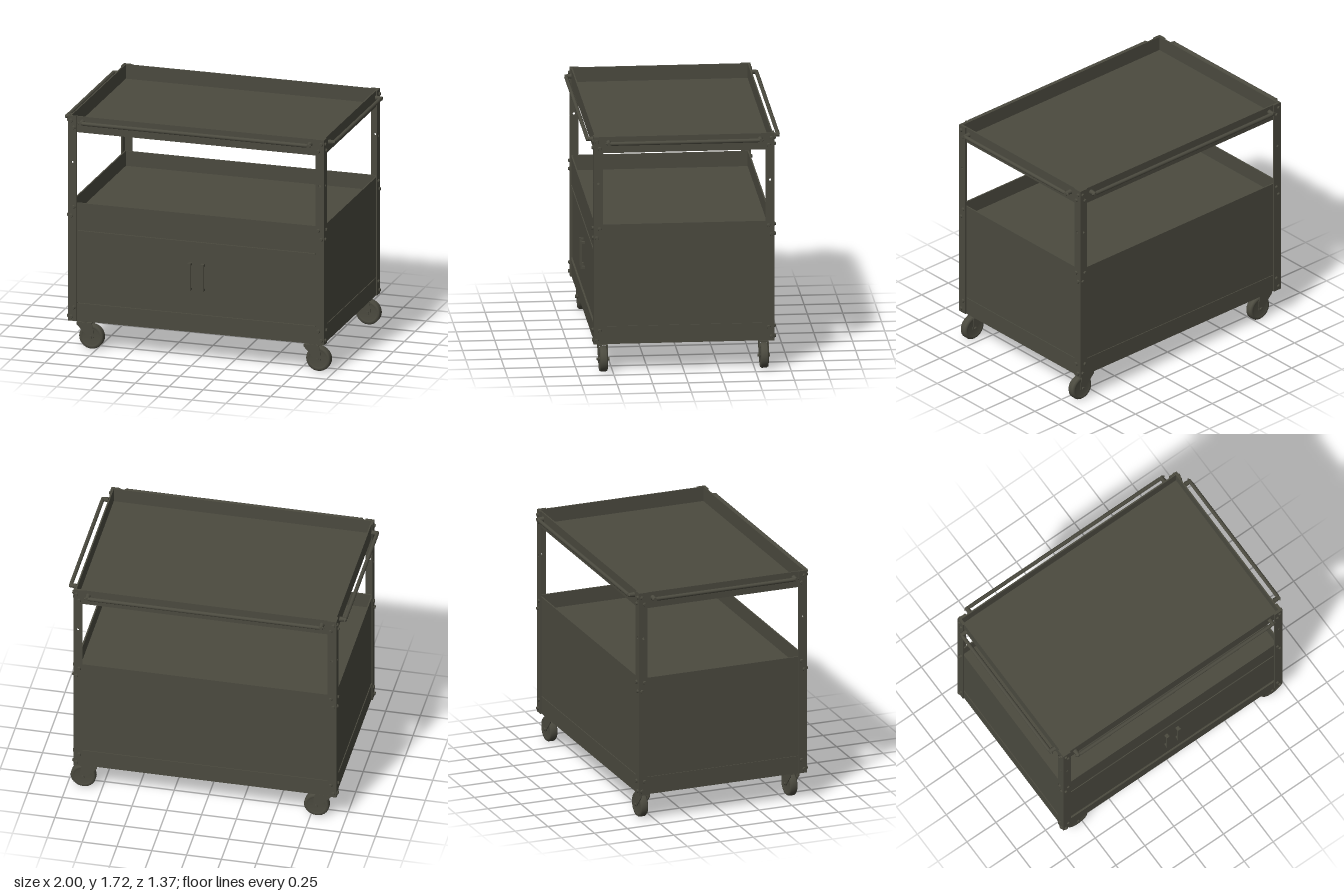
import * as THREE from 'three';

export function createModel() {
  const cart = new THREE.Group();
  cart.name = 'utilityCart';
  const steel = new THREE.MeshStandardMaterial({ color: 0x4b4a3f });
  steel.name = 'dark olive steel';

  const X = 0.945, Z = 0.638, BOTTOM = 0.21, TOP = 1.72, T = 0.01;

  function add(name, geo, x, y, z, parent = cart) {
    const m = new THREE.Mesh(geo, steel);
    m.name = name;
    m.position.set(x, y, z);
    parent.add(m);
    return m;
  }
  const box = (name, w, h, d, x, y, z, parent) => add(name, new THREE.BoxGeometry(w, h, d), x, y, z, parent);

  // Open tray: a floor with four thin walls
  function tray(name, y0, y1, floorY) {
    const g = new THREE.Group();
    g.name = name;
    cart.add(g);
    const x = X - T, z = Z - T, h = y1 - y0, y = (y0 + y1) / 2;
    box('trayFloor', 2 * x - 0.002, 0.012, 2 * z - 0.002, 0, floorY, 0, g);
    for (const s of [-1, 1]) {
      box('trayLongWall', 2 * x, h, T, 0, y, s * (z - T / 2), g);
      box('traySideWall', T, h, 2 * z - 2 * T, s * (x - T / 2), y, 0, g);
    }
  }
  tray('topTray', 1.6, 1.718, 1.607);
  tray('middleTray', 0.88, 1.08, 0.965);
  tray('bottomTray', BOTTOM, 0.338, BOTTOM + 0.007);

  // Cabinet panels, set slightly back from the tray walls
  const py = (0.338 + 0.88) / 2, ph = 0.88 - 0.338;
  for (const s of [-1, 1]) {
    box('sidePanel', T, ph, 1.2, s * 0.924, py, 0);
    box('door', 0.895, ph - 0.006, 0.012, s * 0.4475, py, 0.614);
  }
  box('backPanel', 1.84, ph, T, 0, py, -0.617);
  // Folded lips above and below the doors
  box('doorLip', 1.75, 0.008, 0.018, 0, 0.338, 0.624);
  box('doorLip', 1.75, 0.008, 0.018, 0, 0.872, 0.624);

  // Corner posts: two punched plates forming an angle section
  const w = 0.064, h = TOP - BOTTOM;
  const plateShape = new THREE.Shape([
    new THREE.Vector2(-w / 2, 0), new THREE.Vector2(w / 2, 0),
    new THREE.Vector2(w / 2, h), new THREE.Vector2(-w / 2, h)]);
  const hole = new THREE.Path();
  hole.absarc(0, 1.38 - BOTTOM, 0.009, 0, Math.PI * 2, true);
  plateShape.holes.push(hole);
  const plate = new THREE.ExtrudeGeometry(plateShape, { depth: T, bevelEnabled: false, curveSegments: 6 });
  plate.translate(0, 0, -T / 2);

  // Hexagonal bolt heads
  const bolt = new THREE.CylinderGeometry(0.011, 0.015, 0.012, 6);
  const boltRows = [[1.685, 0.01], [1.635, -0.01], [1.05, -0.01], [0.985, 0.01], [0.31, -0.01], [0.24, 0.01]];

  for (const sx of [-1, 1]) for (const sz of [-1, 1]) {
    const post = new THREE.Group();
    post.name = 'cornerPost';
    cart.add(post);
    add('postFacePlate', plate, sx * (X - w / 2), BOTTOM, sz * (Z - T / 2), post);
    add('postSidePlate', plate, sx * (X - T / 2), BOTTOM, sz * (Z - w / 2), post).rotation.y = Math.PI / 2;
    for (const [y, o] of boltRows) {
      add('bolt', bolt, sx * (X - w / 2 + o), y, sz * (Z + 0.005), post).rotation.x = sz * Math.PI / 2;
      add('bolt', bolt, sx * (X + 0.005), y, sz * (Z - w / 2 + o), post).rotation.z = -sx * Math.PI / 2;
    }
  }

  // Slim rails with tapered ends, on short standoffs
  function rail(length, x, z, angle) {
    const g = new THREE.Group();
    g.name = 'rail';
    g.position.set(x, 1.68, z);
    g.rotation.y = angle;
    cart.add(g);
    const half = length / 2;
    const profile = [[0.001, -half], [0.008, -half + 0.01], [0.014, -half + 0.05],
      [0.014, half - 0.05], [0.008, half - 0.01], [0.001, half]].map(p => new THREE.Vector2(...p));
    add('railBar', new THREE.LatheGeometry(profile, 12), 0, 0, 0, g).rotation.z = Math.PI / 2;
    // Standoffs run from the frame out to the bar ends
    for (const s of [-1, 1]) {
      add('railStandoff', new THREE.CylinderGeometry(0.013, 0.018, 0.05, 10), s * (half - 0.025), 0, -0.015, g)
        .rotation.x = Math.PI / 2;
    }
  }
  rail(1.73, 0, 0.672, 0);
  rail(1.73, 0, -0.672, Math.PI);
  rail(1.12, 0.986, 0, Math.PI / 2);
  rail(1.12, -0.986, 0, -Math.PI / 2);

  // Door pulls
  for (const s of [-1, 1]) {
    const g = new THREE.Group();
    g.name = 'doorHandle';
    g.position.set(s * 0.048, 0.62, 0);
    cart.add(g);
    box('handleGrip', 0.026, 0.2, 0.01, 0, 0, 0.645, g);
    for (const t of [-1, 1]) box('handleFoot', 0.024, 0.016, 0.028, 0, t * 0.09, 0.631, g);
  }

  // Swivel casters, all trailing the same way
  const wheelProfile = [[0.001, -0.022], [0.06, -0.022], [0.066, -0.028], [0.082, -0.028], [0.09, -0.018],
    [0.09, 0.018], [0.082, 0.028], [0.066, 0.028], [0.06, 0.022], [0.001, 0.022]]
    .map(p => new THREE.Vector2(...p));
  const wheel = new THREE.LatheGeometry(wheelProfile, 28);
  const forkShape = new THREE.Shape();
  forkShape.moveTo(-0.055, 0.19);
  forkShape.lineTo(-0.055, 0.175);
  forkShape.lineTo(0.03, 0.085);
  forkShape.quadraticCurveTo(0.05, 0.06, 0.07, 0.085);
  forkShape.lineTo(0.065, 0.15);
  forkShape.lineTo(0.055, 0.19);
  const fork = new THREE.ExtrudeGeometry(forkShape, { depth: 0.005, bevelEnabled: false });

  for (const sx of [-1, 1]) for (const sz of [-1, 1]) {
    const g = new THREE.Group();
    g.name = 'caster';
    g.position.set(sx * 0.838, 0, sz * 0.567);
    cart.add(g);
    add('wheel', wheel, 0.048, 0.09, 0, g).rotation.x = Math.PI / 2;
    add('axle', new THREE.CylinderGeometry(0.012, 0.012, 0.088, 10), 0.048, 0.09, 0, g).rotation.x = Math.PI / 2;
    add('forkPlate', fork, 0, 0, 0.029, g);
    add('forkPlate', fork, 0, 0, -0.034, g);
    box('forkBridge', 0.11, 0.006, 0.066, 0, 0.19, 0, g);
    add('swivel', new THREE.CylinderGeometry(0.028, 0.028, 0.02, 16), 0, 0.2, 0, g);
  }
  return cart;
}
